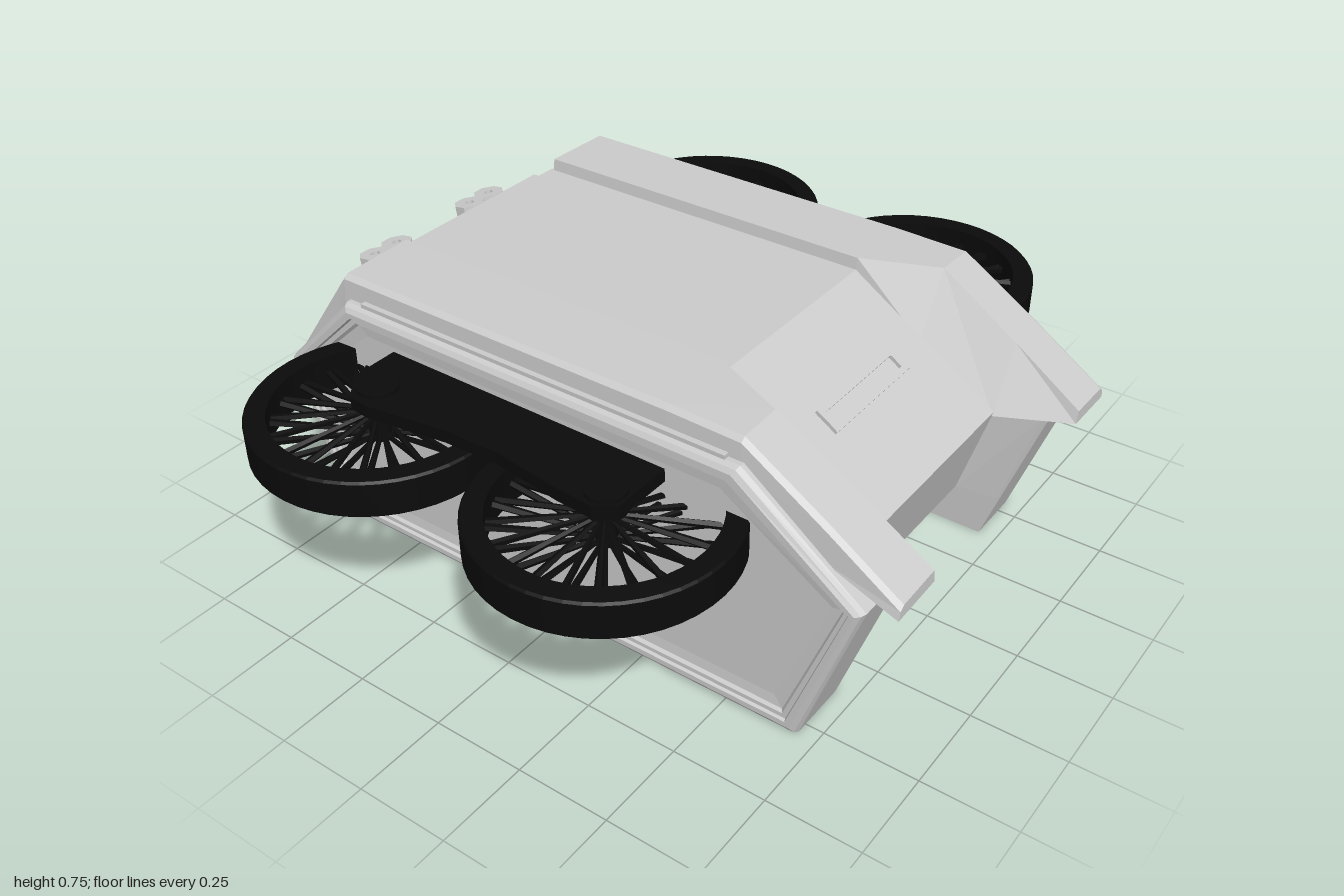
import * as THREE from 'three';

const grey = new THREE.MeshStandardMaterial({ color: 0xcccccc, flatShading: true, side: THREE.DoubleSide });
const black = new THREE.MeshStandardMaterial({ color: 0x0b0b0b, flatShading: true, side: THREE.DoubleSide });

// Skin a list of equal-length rings of [x, y, z], capped at both ends, facing outwards.
function loft(rings) {
  const n = rings[0].length, P = rings.flat(), tris = [];
  for (let r = 0; r < rings.length - 1; r++)
    for (let i = 0; i < n; i++) {
      const a = r * n + i, b = r * n + (i + 1) % n;
      tris.push([a, b, b + n], [a, b + n, a + n]);
    }
  const e = (rings.length - 1) * n;
  for (let i = 1; i < n - 1; i++) tris.push([0, i + 1, i], [e, e + i, e + i + 1]);
  const v = (i) => new THREE.Vector3(...P[i]);
  const volume = tris.reduce((s, [a, b, c]) => s + v(a).dot(v(b).cross(v(c))), 0);
  const order = volume < 0 ? tris.map(([a, b, c]) => [a, c, b]) : tris;
  const geo = new THREE.BufferGeometry();
  geo.setAttribute('position', new THREE.Float32BufferAttribute(order.flat().flatMap((i) => P[i]), 3));
  geo.computeVertexNormals();
  return geo;
}

function add(parent, name, geo, mat = grey, x = 0, y = 0, z = 0) {
  const m = new THREE.Mesh(geo, mat);
  m.name = name;
  m.position.set(x, y, z);
  parent.add(m);
  return m;
}
const box = (w, h, d) => new THREE.BoxGeometry(w, h, d);
const ringAtX = (x, profile) => profile.map(([z, y]) => [x, y, z]);

// Side outlines as [z, y]
const hullSide = [[0.65, 0.18], [0.73, 0.45], [0.31, 0.723], [-0.7, 0.723], [-0.86, 0.45], [-0.77, 0.18]];
const hullEdge = [[0.74, 0.13], [0.84, 0.44], [0.5, 0.67], [-0.67, 0.67], [-0.88, 0.45], [-0.78, 0.13]];
const podSide = [[0.7, 0], [0.85, 0.44], [0.52, 0.69], [-0.67, 0.69], [-0.905, 0.45], [-0.76, 0]];
const inset = (d) => podSide.map(([z, y]) =>
  [-0.03 + (z + 0.03) * (1 - d / 0.85), 0.35 + (y - 0.35) * (1 - d / 0.34)]);

// Side pod: thick slab with a raised rim around a shallow panel
function pod(s) {
  const steps = [[0.375, 0], [0.538, 0], [0.552, 0.006], [0.56, 0.018], [0.56, 0.032],
    [0.552, 0.035], [0.552, 0.046], [0.544, 0.052], [0.541, 0.08]];
  return loft(steps.map(([x, d]) => ringAtX(s * x, inset(d))));
}

// Top rail: [z, top y, inner top x, inner bottom y, inner bottom x, outer bottom y]
function rail(s) {
  const stations = [
    [0.92, 0.485, 0.375, 0.45, 0.368, 0.447], [0.73, 0.612, 0.382, 0.44, 0.292, 0.52],
    [0.51, 0.75, 0.39, 0.58, 0.292, 0.67], [0.31, 0.755, 0.3, 0.7, 0.292, 0.67],
    [-0.69, 0.755, 0.3, 0.7, 0.292, 0.67], [-0.72, 0.715, 0.365, 0.6, 0.36, 0.62],
    [-0.905, 0.46, 0.375, 0.4, 0.368, 0.41]];
  return loft(stations.map(([z, yt, xt, yb, xb, yo]) =>
    [[xb, yb, z], [xt, yt, z], [0.508, yt - 0.004, z], [0.522, yt - 0.015, z], [0.527, yo, z]]
      .map(([x, y, q]) => [s * x, y, q])));
}

// Spoked wheel lying flat
function wheel() {
  const g = new THREE.Group();
  g.name = 'wheel';
  const tyre = [[0.268, -0.05], [0.318, -0.05], [0.323, -0.044], [0.323, 0.044], [0.318, 0.05], [0.268, 0.05], [0.268, -0.05]];
  add(g, 'tyre', new THREE.LatheGeometry(tyre.map((p) => new THREE.Vector2(...p)), 48), black);
  add(g, 'hub', new THREE.CylinderGeometry(0.03, 0.03, 0.09, 12), black);
  for (let i = 0; i < 40; i++) {
    const layer = i % 2 ? 1 : -1;
    const a = Math.floor(i / 2) * Math.PI / 10 + layer * 0.03;
    const from = new THREE.Vector3(Math.cos(a) * 0.02, layer * 0.03, Math.sin(a) * 0.02);
    const to = new THREE.Vector3(Math.cos(a) * 0.275, 0, Math.sin(a) * 0.275);
    const dir = to.clone().sub(from);
    const spoke = add(g, 'spoke', new THREE.CylinderGeometry(0.01, 0.006, dir.length(), 5), black);
    spoke.position.copy(from).addScaledVector(dir, 0.5);
    spoke.quaternion.setFromUnitVectors(new THREE.Vector3(0, 1, 0), dir.normalize());
  }
  return g;
}

// Arm plate that carries two wheels, narrowed in the middle
function arm(s, dz) {
  const outline = [[0.5, 0.35], [0.7, 0.35], [0.735, 0.3], [0.73, 0.2], [0.705, 0],
    [0.71, -0.15], [0.745, -0.37], [0.74, -0.43], [0.67, -0.49], [0.5, -0.49]];
  return loft([0.562, 0.597].map((y) => outline.map(([x, z]) => [s * x, y, z + dz])));
}

export function createModel() {
  const model = new THREE.Group();
  model.name = 'vehicle';
  const body = new THREE.Group();
  body.name = 'body';
  body.position.x = 0.008;
  model.add(body);

  // Central hull, flaring out to meet the pods
  add(body, 'hull', loft([ringAtX(-0.378, hullEdge), ringAtX(-0.3, hullSide),
    ringAtX(0.3, hullSide), ringAtX(0.378, hullEdge)]));

  for (const s of [1, -1]) {
    add(body, 'sidePod', pod(s));
    add(body, 'topRail', rail(s));
    add(body, 'podTrim', box(0.02, 0.02, 1.1), grey, s * 0.53, 0.69, -0.07);

    // Wheels and their carrier
    const dz = s > 0 ? 0 : -0.03;
    add(model, 'wheelArm', arm(s, dz), black);
    for (const z of [0.292, -0.405]) {
      const w = wheel();
      w.position.set(s * 0.677, 0.505, z + dz);
      model.add(w);
      add(model, 'axleCap', new THREE.CylinderGeometry(0.053, 0.053, 0.06, 12), black, s * 0.672, 0.577, z + dz);
    }

    // Paired octagonal exhausts on a solid backing
    const exhaust = new THREE.Group();
    exhaust.name = 'exhaust';
    exhaust.position.set(s * 0.19, 0.475, -0.867);
    exhaust.rotation.x = -0.17;
    const pipe = [[0, -0.148], [0.045, -0.148], [0.045, 0.148], [0.014, 0.148], [0.014, 0.1], [0, 0.1]];
    for (const t of [1, -1])
      add(exhaust, 'exhaustPipe', new THREE.LatheGeometry(
        pipe.map((p) => new THREE.Vector2(...p)), 8, Math.PI / 8), grey, t * 0.041);
    add(exhaust, 'exhaustBacking', box(0.11, 0.24, 0.05), grey, 0, -0.02, 0.03);
    body.add(exhaust);
  }

  // Vision slit frame on the front slope
  const slit = new THREE.Group();
  slit.name = 'visionSlit';
  slit.position.set(0, 0.59, 0.513);
  slit.rotation.x = 0.576;
  for (const t of [1, -1]) {
    add(slit, 'slitBar', box(0.345, 0.022, 0.016), grey, 0, 0, t * 0.027);
    add(slit, 'slitEnd', box(0.02, 0.022, 0.04), grey, t * 0.162, 0, 0);
  }
  body.add(slit);

  // Rear grille of stepped slats
  for (let i = 0; i < 6; i++)
    add(body, 'grilleSlat', box(0.56, 0.015, 0.06), grey, 0, 0.69 - i * 0.026, -0.722 - i * 0.0155);
  return model;
}
